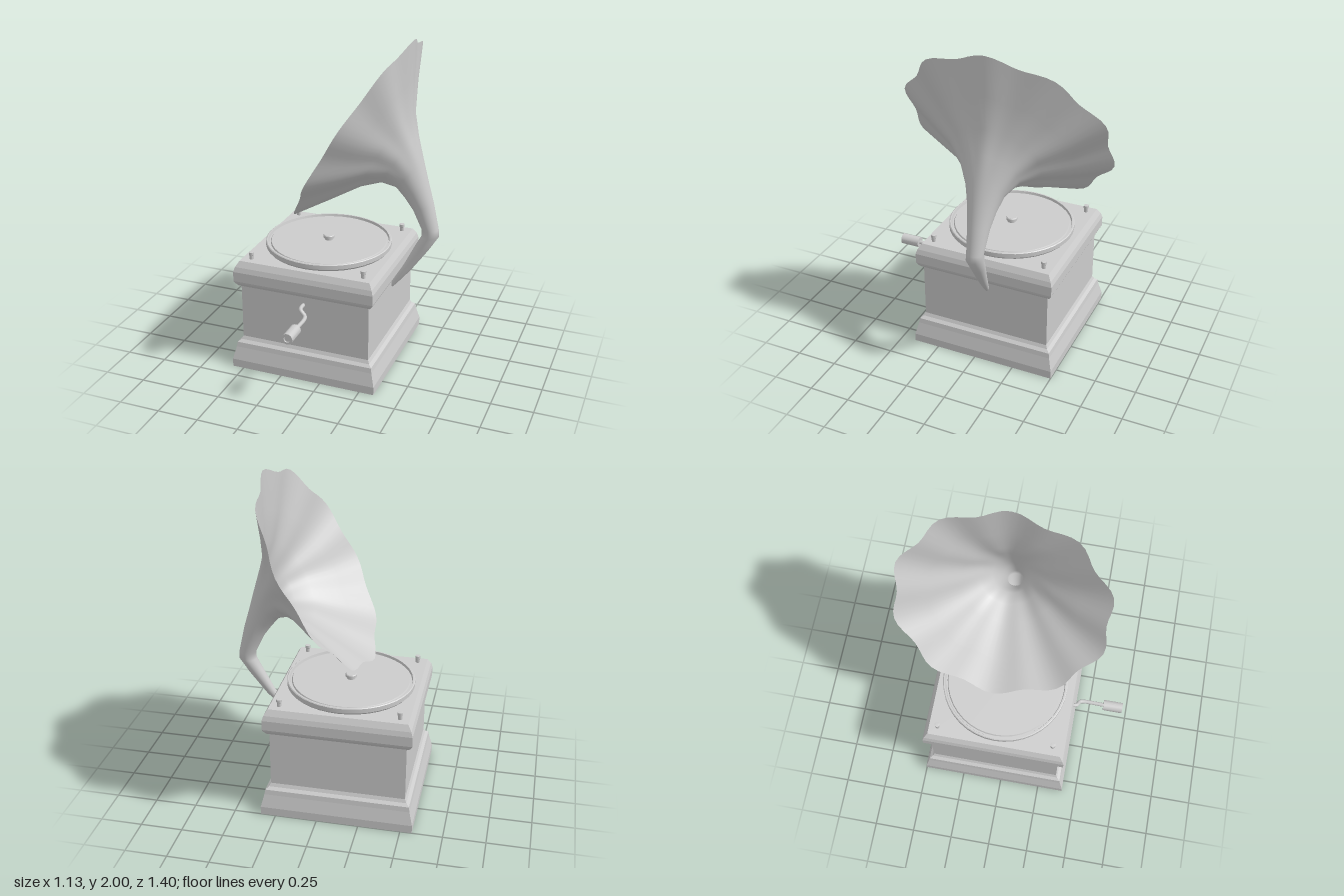
import * as THREE from 'three';
import { toCreasedNormals } from 'three/addons/utils/BufferGeometryUtils.js';

const CX = -0.115, CZ = -0.045; // cabinet centre
const grey = new THREE.MeshStandardMaterial({ color: 0xcccccc });
const flat = new THREE.MeshStandardMaterial({ color: 0xcccccc, flatShading: true });
const thin = new THREE.MeshStandardMaterial({ color: 0xcccccc, side: THREE.DoubleSide });

function part(name, geometry, material = grey, x = 0, y = 0, z = 0) {
  const mesh = new THREE.Mesh(geometry, material);
  mesh.name = name;
  mesh.position.set(x, y, z);
  return mesh;
}

const profile = (pts) => pts.map(([x, y]) => new THREE.Vector2(x, y));

// Square moulding: a four-sided lathe whose profile gives half widths
function squareLathe(pts) {
  const p = profile(pts.map(([w, y]) => [w * Math.SQRT2, y]));
  return new THREE.LatheGeometry(p, 4, Math.PI / 4);
}

function roundLathe(pts, segments) {
  return toCreasedNormals(new THREE.LatheGeometry(profile(pts), segments), 0.5);
}

// Horn: scalloped rings, each given by its upper and lower point and its z centre
function hornGeometry() {
  const rings = [ // upper x, y, lower x, y, z, scallop depth
    [0.38, 2.0, -0.265, 0.91, -0.095, 0.034],
    [0.373, 1.77, -0.09, 1.005, -0.095, 0.032],
    [0.376, 1.58, 0.1, 1.11, -0.095, 0.024],
    [0.408, 1.44, 0.215, 1.147, -0.095, 0.01],
    [0.447, 1.3, 0.3, 1.125, -0.095, 0],
    [0.486, 1.16, 0.35, 1.065, -0.095, 0],
    [0.521, 1.04, 0.4, 0.995, -0.095, 0],
    [0.557, 0.88, 0.457, 0.875, -0.094, 0],
    [0.56, 0.835, 0.456, 0.83, -0.093, 0],
    [0.5, 0.74, 0.42, 0.763, -0.09, 0],
    [0.4, 0.6, 0.353, 0.627, -0.078, 0],
    [0.312, 0.497, 0.283, 0.505, -0.064, 0],
    [0.295, 0.48, 0.28, 0.485, -0.062, 0],
  ];
  const n = 80, pos = [], index = [];
  rings.forEach(([ux, uy, lx, ly, z, depth], i) => {
    const r = Math.hypot(ux - lx, uy - ly) / 2;
    for (let j = 0; j < n; j++) {
      const a = (j / n) * Math.PI * 2;
      const k = 1 - depth * (1 - Math.cos(10 * a));
      const c = (Math.cos(a) * k) / 2;
      pos.push((ux + lx) / 2 + (ux - lx) * c, (uy + ly) / 2 + (uy - ly) * c, z + r * k * Math.sin(a));
      if (i < rings.length - 1) {
        const p = i * n + j, q = i * n + ((j + 1) % n);
        index.push(p, p + n, q, q, p + n, q + n);
      }
    }
  });
  const g = new THREE.BufferGeometry();
  g.setAttribute('position', new THREE.Float32BufferAttribute(pos, 3));
  g.setIndex(index);
  g.computeVertexNormals();
  return g;
}

export function createModel() {
  const model = new THREE.Group();
  model.name = 'hornRecordPlayer';

  // Cabinet with plinth and top moulding
  model.add(part('cabinet', squareLathe([
    [0, 0], [0.455, 0], [0.455, 0.05], [0.435, 0.13], [0.43, 0.16], [0.412, 0.175], [0.402, 0.195],
    [0.402, 0.535], [0.415, 0.54], [0.43, 0.56], [0.437, 0.575], [0.437, 0.635], [0.428, 0.665],
    [0.407, 0.7], [0, 0.7],
  ]), flat, CX, 0, CZ));

  // Turntable with raised rim and groove
  model.add(part('turntable', roundLathe([
    [0, 0.695], [0.368, 0.695], [0.383, 0.712], [0.383, 0.738], [0.378, 0.742], [0.369, 0.742],
    [0.365, 0.727], [0.355, 0.727], [0.35, 0.735], [0, 0.735],
  ], 40), grey, CX, 0, CZ));
  model.add(part('spindle', roundLathe([
    [0, 0.73], [0.026, 0.73], [0.026, 0.745], [0.034, 0.748], [0.034, 0.762], [0.03, 0.767], [0, 0.767],
  ], 20), grey, CX, 0, CZ));

  // Corner pegs
  const pegGeometry = roundLathe([[0, 0], [0.013, 0], [0.013, 0.025], [0.016, 0.028], [0.016, 0.046], [0, 0.048]], 14);
  for (const sx of [-1, 1]) {
    for (const sz of [-1, 1]) {
      model.add(part('cornerPeg', pegGeometry, grey, CX + sx * 0.352, 0.698, CZ + sz * 0.355));
    }
  }

  // Crank with handle
  const crank = new THREE.Group();
  crank.name = 'crank';
  const path = new THREE.CatmullRomCurve3([
    [-0.118, 0.48, 0.34], [-0.118, 0.48, 0.39], [-0.112, 0.476, 0.412], [-0.08, 0.451, 0.428],
    [-0.072, 0.445, 0.45], [-0.072, 0.445, 0.59],
  ].map((p) => new THREE.Vector3(...p)), false, 'centripetal');
  crank.add(part('crankRod', new THREE.TubeGeometry(path, 40, 0.012, 10)));
  const handle = part('crankHandle', roundLathe([
    [0, 0], [0.033, 0], [0.033, 0.12], [0.02, 0.12], [0.018, 0.114], [0, 0.114],
  ], 24), grey, -0.072, 0.445, 0.58);
  handle.rotation.x = Math.PI / 2;
  crank.add(handle);
  model.add(crank);

  // Horn
  model.add(part('horn', hornGeometry(), thin));
  return model;
}
